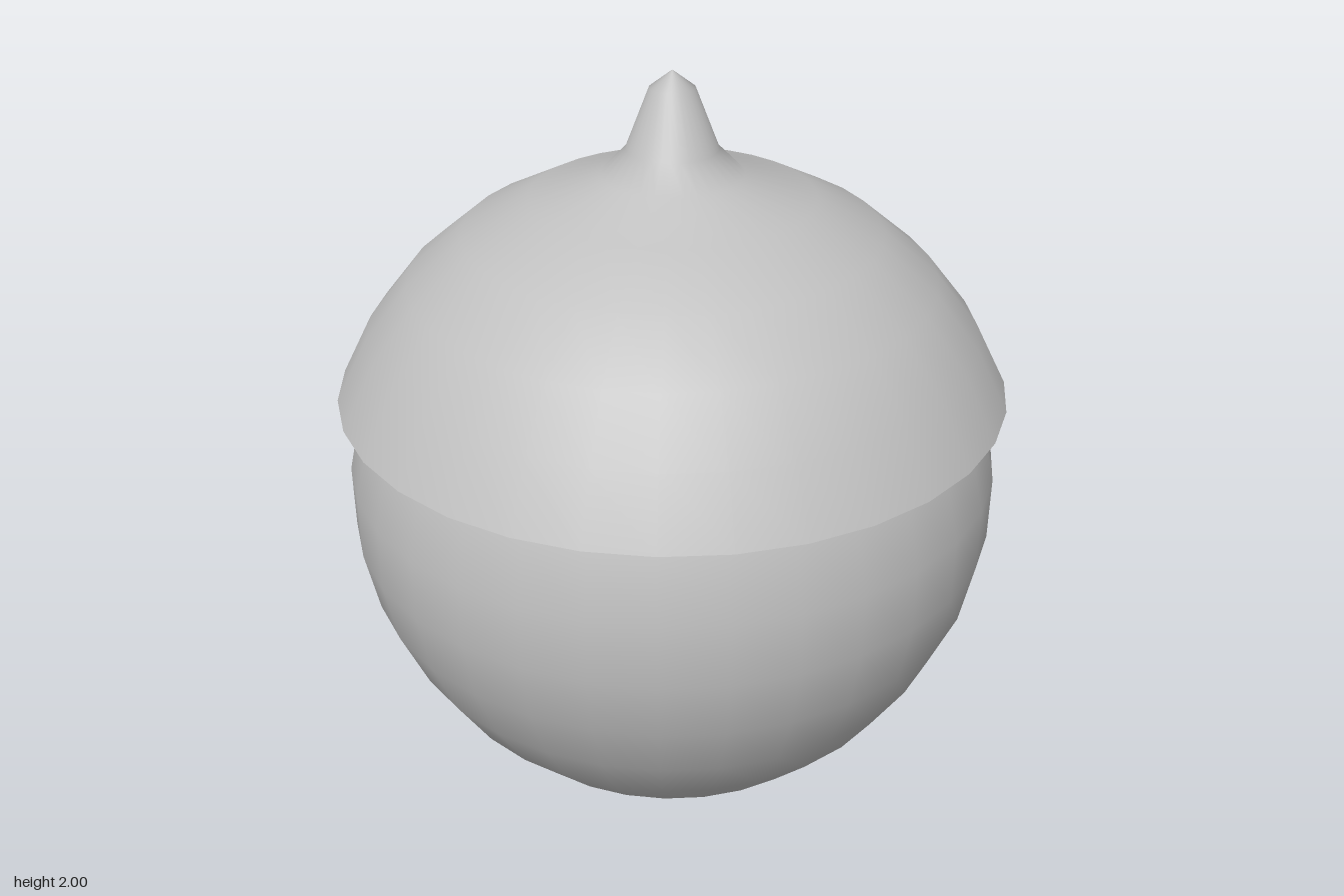
import * as THREE from 'three';

const SIDES = 32;

export function createModel() {
  const model = new THREE.Group();
  model.name = 'acorn';
  const grey = new THREE.MeshStandardMaterial({ color: 0xc0c0c0 });
  grey.name = 'plain grey';

  // Turns a profile of [radius, height] points, listed bottom to top
  const turn = (name, profile) => {
    const points = profile.map(([r, y]) => new THREE.Vector2(r, y));
    const mesh = new THREE.Mesh(new THREE.LatheGeometry(points, SIDES), grey);
    mesh.name = name;
    return mesh;
  };

  // Rounded nut, running up a little way inside the cap
  model.add(turn('nut', [
    [0, 0], [0.125, 0.02], [0.253, 0.068], [0.382, 0.145], [0.507, 0.253], [0.632, 0.385],
    [0.722, 0.528], [0.791, 0.688], [0.823, 0.848], [0.823, 1.012], [0.785, 1.178], [0.74, 1.25],
  ]));

  // Underside of the cap, kept separate for a sharp edge
  model.add(turn('capRim', [[0.77, 1.178], [0.785, 1.178], [0.838, 1.207]]));

  // Domed cap flowing into the stem
  model.add(turn('capAndStem', [
    [0.838, 1.207], [0.758, 1.362], [0.65, 1.497], [0.512, 1.612], [0.348, 1.695],
    [0.174, 1.75], [0.112, 1.812], [0.055, 1.958], [0, 2],
  ]));

  return model;
}
